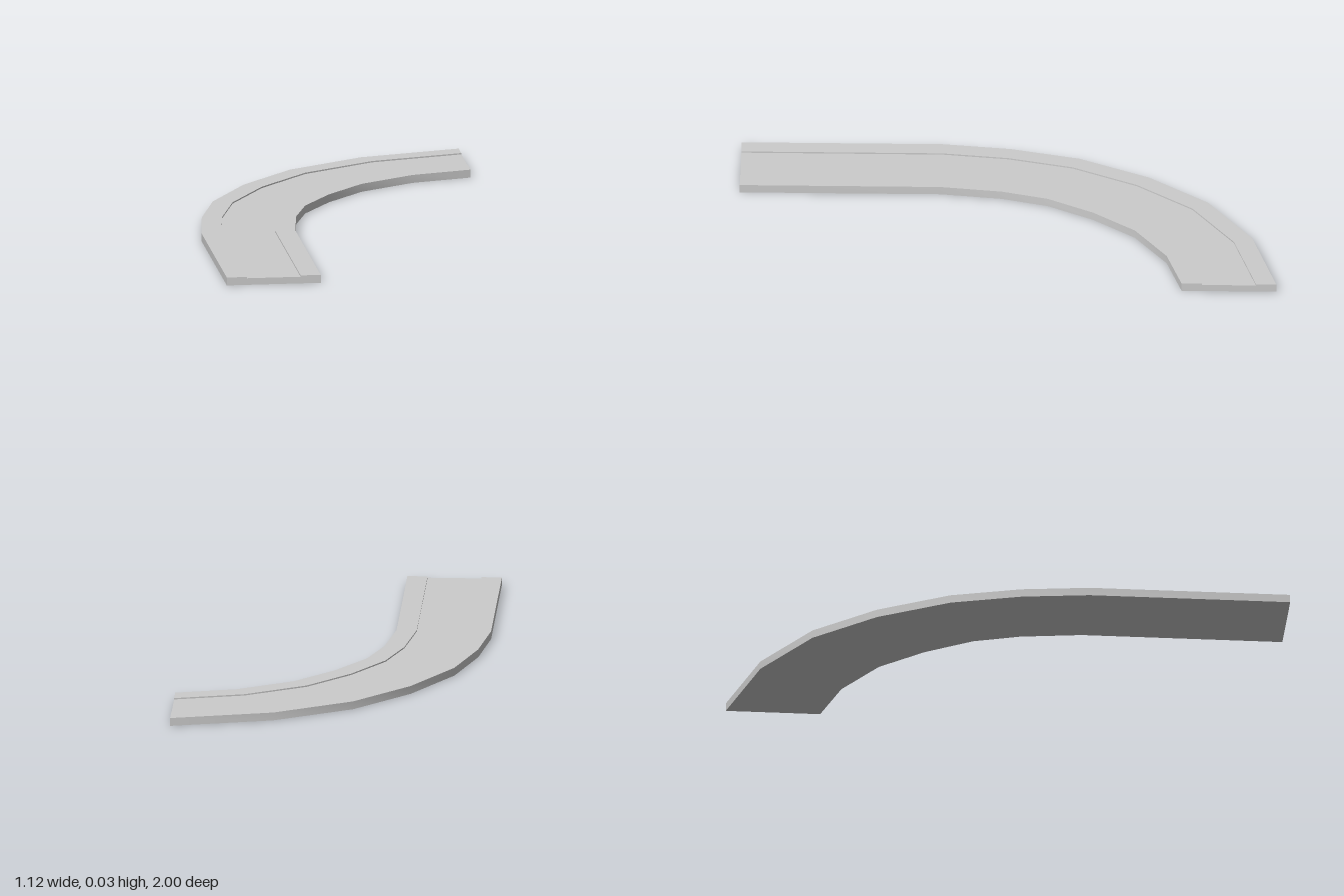
import * as THREE from 'three';
import { toCreasedNormals } from 'three/addons/utils/BufferGeometryUtils.js';

// Stations along the bend: outer edge [x, z] and inner edge [x, z]
const STATIONS = [
  [[-0.56, 1], [-0.21, 1]],
  [[-0.56, 0.257], [-0.21, 0.257]],
  [[-0.526, 0.006], [-0.177, 0.03]],
  [[-0.452, -0.251], [-0.122, -0.14]],
  [[-0.304, -0.511], [-0.013, -0.31]],
  [[-0.103, -0.734], [0.13, -0.468]],
  [[0.183, -0.903], [0.336, -0.59]],
  [[0.56, -1], [0.56, -0.65]],
];

// Cross-section [fraction from outer to inner edge, height]: two raised
// pavements with a slightly sunken roadway between them
const TOP = 0.03, ROAD = 0.025, WALK = 0.214;
const SECTION = [
  [0, 0], [1, 0], [1, TOP], [1 - WALK, TOP],
  [1 - WALK, ROAD], [WALK, ROAD], [WALK, TOP], [0, TOP],
];

function sweepRoad() {
  const n = SECTION.length, positions = [], index = [];
  for (const [outer, inner] of STATIONS) {
    for (const [t, y] of SECTION) {
      positions.push(
        THREE.MathUtils.lerp(outer[0], inner[0], t), y,
        THREE.MathUtils.lerp(outer[1], inner[1], t));
    }
  }
  // Skin between neighbouring stations
  for (let s = 0; s < STATIONS.length - 1; s++) {
    for (let i = 0; i < n; i++) {
      const a = s * n + i, a1 = s * n + (i + 1) % n;
      index.push(a, a + n, a1, a1, a + n, a1 + n);
    }
  }
  // End caps
  const last = (STATIONS.length - 1) * n;
  const outline = SECTION.map(([t, y]) => new THREE.Vector2(t, y));
  for (const [a, b, c] of THREE.ShapeUtils.triangulateShape(outline, [])) {
    index.push(a, b, c, last + a, last + c, last + b);
  }
  const geometry = new THREE.BufferGeometry();
  geometry.setAttribute('position', new THREE.Float32BufferAttribute(positions, 3));
  geometry.setIndex(index);
  // Smooth along the bend, sharp at the kerbs and edges
  return toCreasedNormals(geometry, Math.PI / 6);
}

export function createModel() {
  const group = new THREE.Group();
  group.name = 'roadBend';
  const road = new THREE.Mesh(
    sweepRoad(), new THREE.MeshStandardMaterial({ color: 0xcccccc }));
  road.name = 'roadWithPavements';
  group.add(road);
  return group;
}
